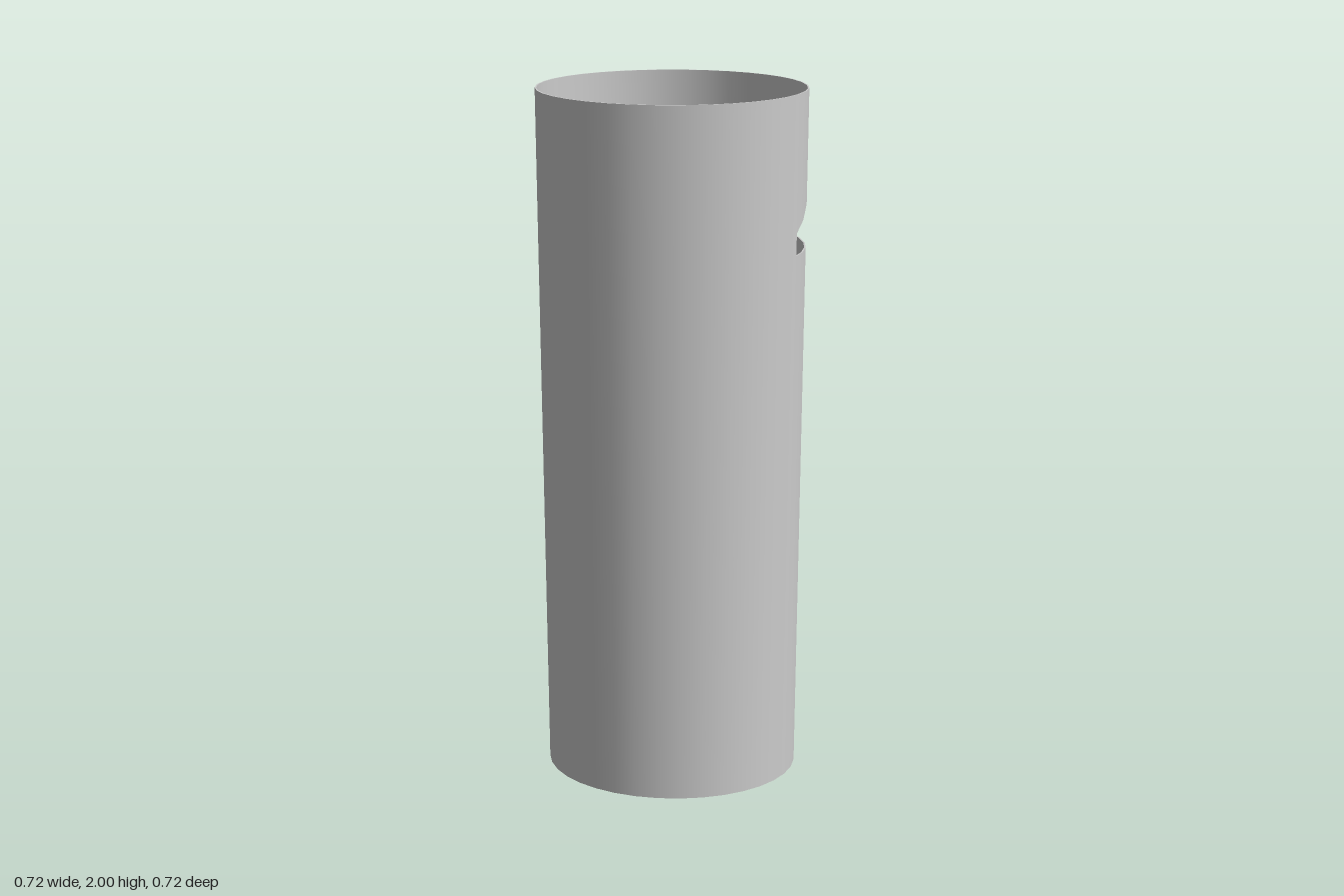
import * as THREE from 'three';

const OUTER = 0.359, INNER = 0.355, SIDES = 36;
const STEP = (Math.PI * 2) / SIDES, OFFSET = STEP / 2;
const TOP = 2;

// window limits, as angles from +x towards the back
const WIN_A = Math.asin(0.04 / 0.358), WIN_B = Math.asin(0.285 / 0.358);
const WIN_SILL = 1.58;
const windowTop = (t) => THREE.MathUtils.mapLinear(t, WIN_A, WIN_B, 1.64, 1.78);

// point on the faceted wall at an angle, with its radius held to the flat sides
function ring(t, r) {
  const fromVertex = (((t - OFFSET) % STEP) + STEP) % STEP;
  const k = (r * Math.cos(STEP / 2)) / Math.cos(fromVertex - STEP / 2);
  return [Math.cos(t) * k, -Math.sin(t) * k];
}

// slanted cut at the foot
const footHeight = (x, z) => Math.max(0, 0.05 + 0.062 * x + 0.125 * z);

export function createModel() {
  const pos = [], nor = [];

  // quad with corners counter-clockwise; normals are flat unless given
  function quad(p, n) {
    const v = p.map((c) => new THREE.Vector3(...c));
    const flat = v[2].clone().sub(v[0]).cross(v[3].clone().sub(v[1])).normalize().toArray();
    for (const i of [0, 1, 2, 0, 2, 3]) {
      pos.push(...p[i]);
      nor.push(...(n ? n[i] : flat));
    }
  }

  const at = (t, r, y) => {
    const [x, z] = ring(t, r);
    return [x, typeof y === 'function' ? y(t, x, z) : y, z];
  };
  const foot = (t, x, z) => footHeight(x, z);

  // outer and inner skin plus both edges between two angles and two heights
  function wall(a, b, low, high) {
    const na = [Math.cos(a), 0, -Math.sin(a)], nb = [Math.cos(b), 0, -Math.sin(b)];
    const ia = na.map((c) => -c), ib = nb.map((c) => -c);
    quad([at(a, OUTER, low), at(b, OUTER, low), at(b, OUTER, high), at(a, OUTER, high)], [na, nb, nb, na]);
    quad([at(b, INNER, low), at(a, INNER, low), at(a, INNER, high), at(b, INNER, high)], [ib, ia, ia, ib]);
    quad([at(a, OUTER, high), at(b, OUTER, high), at(b, INNER, high), at(a, INNER, high)]);
    quad([at(a, INNER, low), at(b, INNER, low), at(b, OUTER, low), at(a, OUTER, low)]);
  }

  // side angles, with the window's two jambs added
  const angles = [WIN_A, WIN_B];
  for (let i = 0; i <= SIDES; i++) angles.push(OFFSET + i * STEP);
  angles.sort((a, b) => a - b);

  for (let i = 0; i < angles.length - 1; i++) {
    const a = angles[i], b = angles[i + 1], mid = (a + b) / 2;
    if (mid > WIN_A && mid < WIN_B) {
      wall(a, b, foot, WIN_SILL);
      wall(a, b, windowTop, TOP);
    } else {
      wall(a, b, foot, TOP);
    }
  }

  // window jambs
  const jamb = (t) => [at(t, OUTER, WIN_SILL), at(t, INNER, WIN_SILL), at(t, INNER, windowTop), at(t, OUTER, windowTop)];
  quad(jamb(WIN_A).reverse());
  quad(jamb(WIN_B));

  const geometry = new THREE.BufferGeometry();
  geometry.setAttribute('position', new THREE.Float32BufferAttribute(pos, 3));
  geometry.setAttribute('normal', new THREE.Float32BufferAttribute(nor, 3));
  const tube = new THREE.Mesh(
    geometry,
    new THREE.MeshStandardMaterial({ color: 0xcccccc, side: THREE.DoubleSide })
  );
  tube.name = 'tubeWithWindow';

  const group = new THREE.Group();
  group.name = 'cutTube';
  group.add(tube);
  return group;
}
